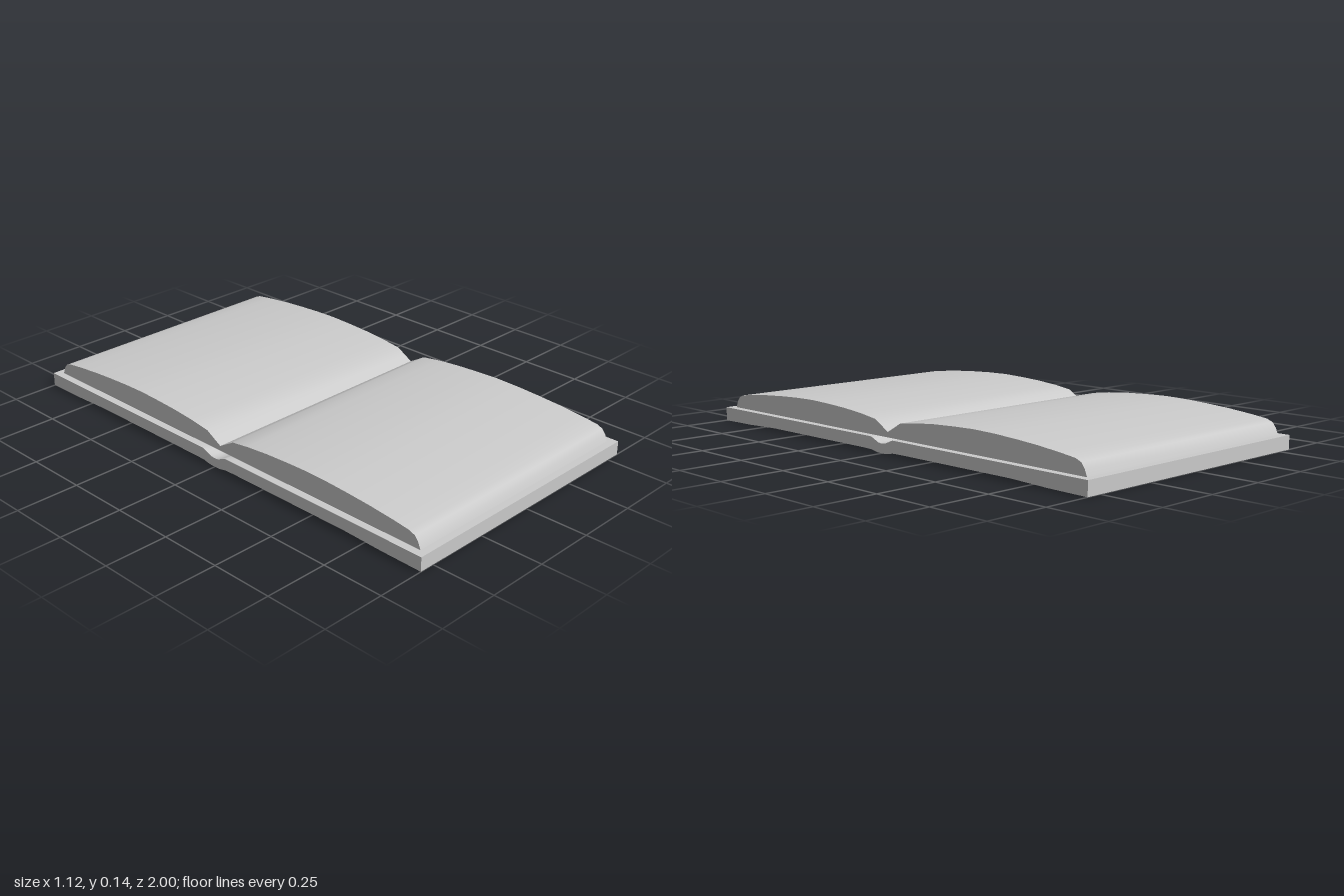
import * as THREE from 'three';

const material = new THREE.MeshStandardMaterial({ color: 0xcccccc, side: THREE.DoubleSide });

// Surface stretched between two rows of [x, y, z] points; faces a -> b turned by the row direction.
function strip(name, a, b, flip = false) {
  const index = [];
  for (let i = 0; i < a.length - 1; i++) {
    const p = i, q = i + 1, r = a.length + i, s = r + 1;
    index.push(...(flip ? [p, r, q, q, r, s] : [p, q, r, q, s, r]));
  }
  const geometry = new THREE.BufferGeometry();
  geometry.setAttribute('position', new THREE.Float32BufferAttribute([...a, ...b].flat(), 3));
  geometry.setIndex(index);
  geometry.computeVertexNormals();
  const mesh = new THREE.Mesh(geometry, material);
  mesh.name = name;
  return mesh;
}

const row = (x, profile) => profile.map(([z, y]) => [x, y, z]);
const mirrorZ = (half) => [...half.map(([z, y]) => [-z, y]).reverse(), ...half.slice(1)];

const PAGE_X = 0.53, PAGE_Z = 0.97, COVER_X = 0.56, LEDGE = 0.055;

// Page block: curved sheet and two flat ends, open underneath
function pageBlock(side) {
  const group = new THREE.Group();
  group.name = side > 0 ? 'frontPages' : 'backPages';
  const profile = [[0, 0.075], [0.03, 0.092], [0.07, 0.115], [0.15, 0.126], [0.25, 0.135], [0.35, 0.14],
    [0.45, 0.143], [0.55, 0.141], [0.65, 0.136], [0.75, 0.129], [0.85, 0.119], [0.92, 0.11],
    [0.945, 0.1], [0.96, 0.08], [PAGE_Z, LEDGE]].map(([z, y]) => [z * side, y]);
  const base = profile.map(([z]) => [z, LEDGE]);
  group.add(strip('pageSurface', row(-PAGE_X, profile), row(PAGE_X, profile), side < 0));
  for (const s of [-1, 1]) {
    group.add(strip('pageEnd', row(s * PAGE_X, base), row(s * PAGE_X, profile), s * side > 0));
  }
  return group;
}

// Cover: thin rim with a narrow ledge and a dipped spine, open underneath
function cover() {
  const group = new THREE.Group();
  group.name = 'cover';
  const spine = mirrorZ([[0, 0.036], [0.02, 0.038], [0.04, 0.047], [0.06, LEDGE]]);
  const top = mirrorZ([[0, 0.036], [0.02, 0.038], [0.04, 0.047], [0.06, LEDGE], [0.1, LEDGE],
    [0.66, LEDGE], [0.83, LEDGE], [1, LEDGE]]);
  const bottom = mirrorZ([[0, 0], [0.02, 0], [0.04, 0.003], [0.06, 0.007], [0.1, 0.008],
    [0.66, 0.008], [0.83, 0.002], [1, 0]]);
  for (const s of [-1, 1]) {
    group.add(strip('coverSide', row(s * COVER_X, bottom), row(s * COVER_X, top), s > 0));
    group.add(strip('sideLedge', row(s * PAGE_X, top), row(s * COVER_X, top), s < 0));
    const across = (y, z, x = COVER_X) => [[-x, y, z * s], [x, y, z * s]];
    group.add(strip('coverEnd', across(0, 1), across(LEDGE, 1), s < 0));
    group.add(strip('endLedge', across(LEDGE, 1, PAGE_X), across(LEDGE, PAGE_Z, PAGE_X), s < 0));
  }
  group.add(strip('spine', row(-PAGE_X, spine), row(PAGE_X, spine)));
  return group;
}

export function createModel() {
  const model = new THREE.Group();
  model.name = 'openBook';
  model.add(cover(), pageBlock(1), pageBlock(-1));
  return model;
}
